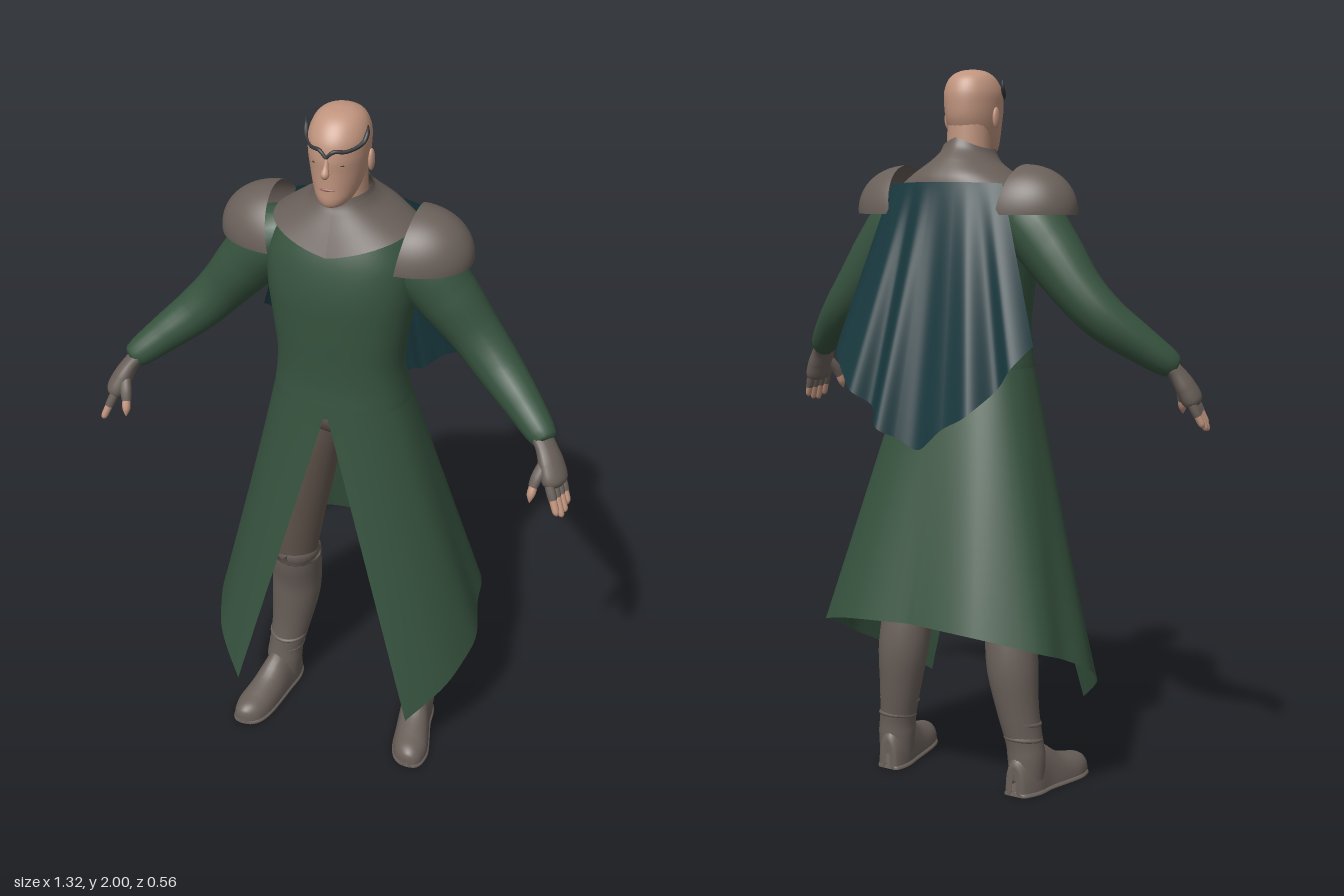
import * as THREE from 'three';
import { ParametricGeometry } from 'three/addons/geometries/ParametricGeometry.js';

const mat = (name, color, double) => {
  const m = new THREE.MeshStandardMaterial({ color });
  m.name = name;
  if (double) m.side = THREE.DoubleSide;
  return m;
};

// Smooth interpolation through rows of numbers, t from 0 to 1
const spline = rows => t => {
  const n = rows.length, f = t * (n - 1), i = Math.max(0, Math.min(Math.floor(f), n - 2)), k = f - i;
  const at = j => rows[Math.max(0, Math.min(n - 1, j))];
  return rows[0].map((_, c) => {
    const [a, b, d, e] = [at(i - 1)[c], at(i)[c], at(i + 1)[c], at(i + 2)[c]];
    return b + 0.5 * k * (d - a + k * (2 * a - 5 * b + 4 * d - e + k * (3 * (b - d) + e - a)));
  });
};

const surface = (f, nu, nv) => new ParametricGeometry((u, v, p) => p.set(...f(u, v)), nu, nv);

// Point at angle a on an upright section [halfWidth, zFront, zBack, yFront, ySide, yBack]
function section([w, zf, zb, yf, ys = yf, yb = yf], a, power) {
  const s = Math.sin(a), c = Math.cos(a);
  const round = q => Math.sign(q) * Math.abs(q) ** power;
  const y = ys + ((c > 0 ? yf : yb) - ys) * (1 - Math.abs(s));
  return [w * round(s), y, (zf + zb) / 2 + (zf - zb) / 2 * round(c)];
}

// Upright body through such sections, from bottom to top
function body(rows, power = 0.88) {
  const row = spline(rows);
  return surface((u, v) => section(row(v), u * Math.PI * 2, power), 48, 36);
}

// Tapering limb from rows [x, y, z, radius]; squash flattens it across ref
function limb(rows, { ref = [0, 0, 1], squash = 1, nu = 20, nv = 28 } = {}) {
  const row = spline(rows), r = new THREE.Vector3(...ref).normalize();
  const at = v => new THREE.Vector3(...row(v).slice(0, 3));
  return surface((u, v) => {
    const t = at(Math.min(1, v + 0.01)).sub(at(Math.max(0, v - 0.01))).normalize();
    const n = r.clone().addScaledVector(t, -r.dot(t)).normalize();
    const b = t.clone().cross(n);
    const a = u * Math.PI * 2, rad = Math.max(0.001, row(v)[3]);
    return at(v).addScaledVector(n, rad * Math.cos(a)).addScaledVector(b, rad * squash * Math.sin(a)).toArray();
  }, nu, nv);
}

// Flat-bottomed shoe shape from rows [z, halfWidth, height, centreX]
function shoe(rows, base) {
  const row = spline(rows);
  return surface((u, v) => {
    const [z, w, h, cx] = row(v), a = u * Math.PI * 2;
    return [cx + w * Math.cos(a), base + h * Math.max(0, Math.sin(a)) ** 0.8, z];
  }, 28, 32);
}

const blob = (x, y, z, sx, sy, sz) => new THREE.SphereGeometry(1, 20, 14).scale(sx, sy, sz).translate(x, y, z);

function mirrored(geo) {
  const g = geo.clone().scale(-1, 1, 1), ix = g.index;
  for (let i = 0; i < ix.count; i += 3) {
    const a = ix.getX(i);
    ix.setX(i, ix.getX(i + 1));
    ix.setX(i + 1, a);
  }
  return g;
}

export function createModel() {
  const model = new THREE.Group();
  const skin = mat('skin', 0xc0947e), green = mat('green cloth', 0x37533f, true);
  const teal = mat('teal cloth', 0x19393f, true), leather = mat('leather', 0x6a605a, true);
  const hose = mat('brown trousers', 0x64574f), metal = mat('dark metal', 0x35373a);
  const eyes = mat('dark eyes', 0x4a3a33), lip = mat('lips', 0x9c6a5c);

  const add = (name, geo, m) => {
    const mesh = new THREE.Mesh(geo, m);
    mesh.name = name;
    model.add(mesh);
  };
  const both = (name, geo, m) => {
    add(name + 'Left', geo, m);
    add(name + 'Right', mirrored(geo), m);
  };

  // Head and face
  add('head', body([
    [0.014, 0.165, 0.11, 1.765], [0.034, 0.178, 0.08, 1.772], [0.049, 0.184, 0.05, 1.79],
    [0.061, 0.184, 0.02, 1.82], [0.07, 0.185, 0.0, 1.86], [0.075, 0.187, -0.006, 1.9],
    [0.075, 0.179, -0.004, 1.94], [0.061, 0.154, 0.012, 1.975], [0.036, 0.122, 0.045, 1.994],
    [0.0006, 0.0845, 0.0835, 2.0]], 0.98), skin);
  add('neck', limb([[0, 1.68, 0.06, 0.066], [0, 1.76, 0.062, 0.061], [0, 1.85, 0.065, 0.06]]), skin);
  add('nose', limb([[0, 1.905, 0.183, 0.004], [0, 1.882, 0.19, 0.007], [0, 1.866, 0.197, 0.011],
    [0, 1.857, 0.189, 0.004]], { nu: 12, nv: 12 }), skin);
  both('ear', blob(0.077, 1.868, 0.08, 0.008, 0.029, 0.015), skin);
  both('eye', blob(0.029, 1.886, 0.1735, 0.012, 0.0035, 0.004), eyes);
  add('mouth', blob(0, 1.82, 0.1825, 0.02, 0.004, 0.004), lip);

  // Circlet that dips at the brow and curls up at the temples
  both('circlet', limb([[0, 1.907, 0.19, 0.004], [0.018, 1.923, 0.184, 0.005], [0.045, 1.921, 0.166, 0.005],
    [0.071, 1.93, 0.132, 0.0055], [0.078, 1.95, 0.113, 0.0055], [0.079, 1.972, 0.111, 0.001]], { nu: 10 }), metal);

  // Torso of the coat
  const waistRow = [0.187, 0.21, -0.064, 1.19];
  add('coatTorso', body([
    [0.187, 0.21, -0.064, 1.165], waistRow, [0.177, 0.206, -0.045, 1.25], [0.172, 0.207, -0.035, 1.32],
    [0.184, 0.212, -0.048, 1.42], [0.198, 0.214, -0.07, 1.52], [0.2, 0.202, -0.086, 1.6],
    [0.175, 0.182, -0.085, 1.66], [0.14, 0.16, -0.075, 1.7], [0.09, 0.13, -0.04, 1.73],
    [0.05, 0.1, 0.0, 1.75]]), green);

  // Collar with a pointed front
  add('collar', body([
    [0.185, 0.198, -0.097, 1.64, 1.69, 1.665], [0.135, 0.176, -0.088, 1.69, 1.722, 1.71],
    [0.095, 0.155, -0.055, 1.735, 1.748, 1.755], [0.077, 0.145, -0.02, 1.755, 1.768, 1.79],
    [0.07, 0.14, -0.008, 1.775, 1.785, 1.815]], 0.9), leather);

  // Skirt of the coat, hung from the waist section and split at the front
  const hem = spline([[0.262, 0.21, 0.28], [0.362, 0.305, 0.17], [0.393, 0.365, 0.06], [0.378, 0.42, -0.05],
    [0.34, 0.46, -0.155], [0.2, 0.5, -0.24], [0, 0.513, -0.245]]);
  add('coatSkirt', surface((u, v) => {
    const t = u < 0.5 ? u * 2 : 2 - u * 2, side = u < 0.5 ? 1 : -1;
    const a = hem(t), b = section(waistRow, t * Math.PI, 0.88);
    const p = a.map((q, i) => q + (b[i] - q) * v);
    const fold = 1.001 + 0.012 * Math.sin(t * 22) * Math.sin(t * Math.PI) * (1 - v);
    return [p[0] * side * fold, p[1], p[2] * fold];
  }, 96, 24), green);

  // Cape hanging in uneven folds behind the shoulders, longest near the middle
  const capeHem = spline([[-0.31, 1.27, -0.12], [-0.27, 1.21, -0.185], [-0.225, 1.15, -0.175], [-0.175, 1.09, -0.25],
    [-0.1, 1.05, -0.235], [-0.025, 0.99, -0.24], [0.04, 1.02, -0.245], [0.09, 1.05, -0.278], [0.14, 1.1, -0.215],
    [0.195, 1.14, -0.245], [0.265, 1.2, -0.185], [0.32, 1.25, -0.12]]);
  add('cape', surface((u, v) => {
    const x = (u - 0.5) * 0.35;
    const top = [x, 1.695 - 0.15 * x * x, -0.095 + 1.3 * x * x];
    const p = capeHem(u).map((q, i) => q + (top[i] - q) * v);
    return [p[0], p[1], p[2] - 0.006 * Math.sin(u * 34 + 1) * (1 - v)];
  }, 110, 20), teal);

  // Shoulder guards
  both('shoulderGuard', surface((u, v) => {
    const th = u * Math.PI, ph = v * Math.PI * 0.495, c = Math.cos(ph) ** 0.98;
    return [0.167 + 0.024 * Math.sin(th) * (1 - v) + 0.168 * Math.sin(ph),
      1.608 + 0.134 * c * Math.sin(th), 0.045 - 0.127 * c * Math.cos(th)];
  }, 32, 16), leather);

  // Sleeves
  both('sleeve', limb([[0.13, 1.62, 0.05, 0.06], [0.2, 1.59, 0.048, 0.087], [0.275, 1.505, 0.045, 0.082],
    [0.35, 1.412, 0.045, 0.069], [0.42, 1.337, 0.065, 0.062], [0.5, 1.271, 0.11, 0.051],
    [0.575, 1.21, 0.16, 0.035], [0.578, 1.207, 0.163, 0.003]]), green);

  // Gloved hands with bare fingertips
  const across = [-0.28, 0.12, 0.95];
  both('gloveHand', limb([[0.558, 1.222, 0.15, 0.036], [0.582, 1.193, 0.168, 0.036], [0.603, 1.155, 0.185, 0.044],
    [0.62, 1.115, 0.2, 0.044], [0.626, 1.098, 0.205, 0.012]], { ref: across, squash: 0.62 }), leather);
  for (let k = 0; k < 4; k++) {
    const o = (k - 1.5) * 0.021, len = [0.068, 0.08, 0.085, 0.075][k];
    const at = (d, r) => [0.62 + across[0] * o + d * 0.42, 1.115 + across[1] * o - d, 0.2 + across[2] * o + d * 0.3, r];
    both('gloveFinger' + k, limb([at(0, 0.012), at(0.02, 0.0125), at(0.035, 0.0115)], { nu: 10, nv: 6 }), leather);
    both('fingertip' + k, limb([at(0.02, 0.01), at(0.045, 0.01), at(len - 0.008, 0.0085), at(len, 0.001)],
      { nu: 10, nv: 10 }), skin);
  }
  both('gloveThumb', limb([[0.59, 1.165, 0.2, 0.016], [0.578, 1.135, 0.225, 0.016], [0.572, 1.11, 0.238, 0.013]],
    { nu: 10, nv: 8 }), leather);
  both('thumbTip', limb([[0.573, 1.115, 0.236, 0.011], [0.57, 1.09, 0.247, 0.011], [0.569, 1.07, 0.254, 0.001]],
    { nu: 10, nv: 8 }), skin);

  // Trousers
  add('hips', blob(0, 1.14, 0.07, 0.155, 0.09, 0.105), hose);
  both('trouserLeg', limb([[0.088, 1.16, 0.07, 0.085], [0.1, 1.04, 0.07, 0.094], [0.122, 0.88, 0.062, 0.088],
    [0.146, 0.72, 0.05, 0.077], [0.164, 0.58, 0.036, 0.067], [0.17, 0.48, 0.025, 0.058]]), hose);

  // Boots
  both('bootShaft', limb([[0.164, 0.537, 0.034, 0.064], [0.164, 0.553, 0.034, 0.073], [0.167, 0.52, 0.028, 0.074],
    [0.174, 0.44, 0.008, 0.074], [0.183, 0.35, 0.001, 0.072], [0.197, 0.24, 0.006, 0.06],
    [0.212, 0.15, 0.016, 0.053], [0.218, 0.1, 0.02, 0.054], [0.22, 0.04, 0.02, 0.05]]), leather);
  for (const [y, x, r] of [[0.2, 0.204, 0.052], [0.155, 0.211, 0.049]]) {
    both('bootCrease', new THREE.TorusGeometry(r, 0.007, 8, 28).rotateX(Math.PI / 2 + 0.15).translate(x, y, 0.013), leather);
  }
  const foot = [[-0.041, 0.006, 0.06, 0.212], [-0.037, 0.03, 0.09, 0.213], [0.01, 0.047, 0.13, 0.22],
    [0.07, 0.047, 0.12, 0.228], [0.13, 0.051, 0.08, 0.24], [0.19, 0.053, 0.06, 0.252],
    [0.232, 0.043, 0.05, 0.258], [0.252, 0.028, 0.038, 0.262], [0.259, 0.014, 0.026, 0.263], [0.261, 0.001, 0.016, 0.263]];
  both('bootFoot', shoe(foot, 0.01), leather);
  both('bootSole', shoe(foot.map(([z, w, , x]) => [z, w + 0.004, 0.014, x]), 0), leather);

  return model;
}
